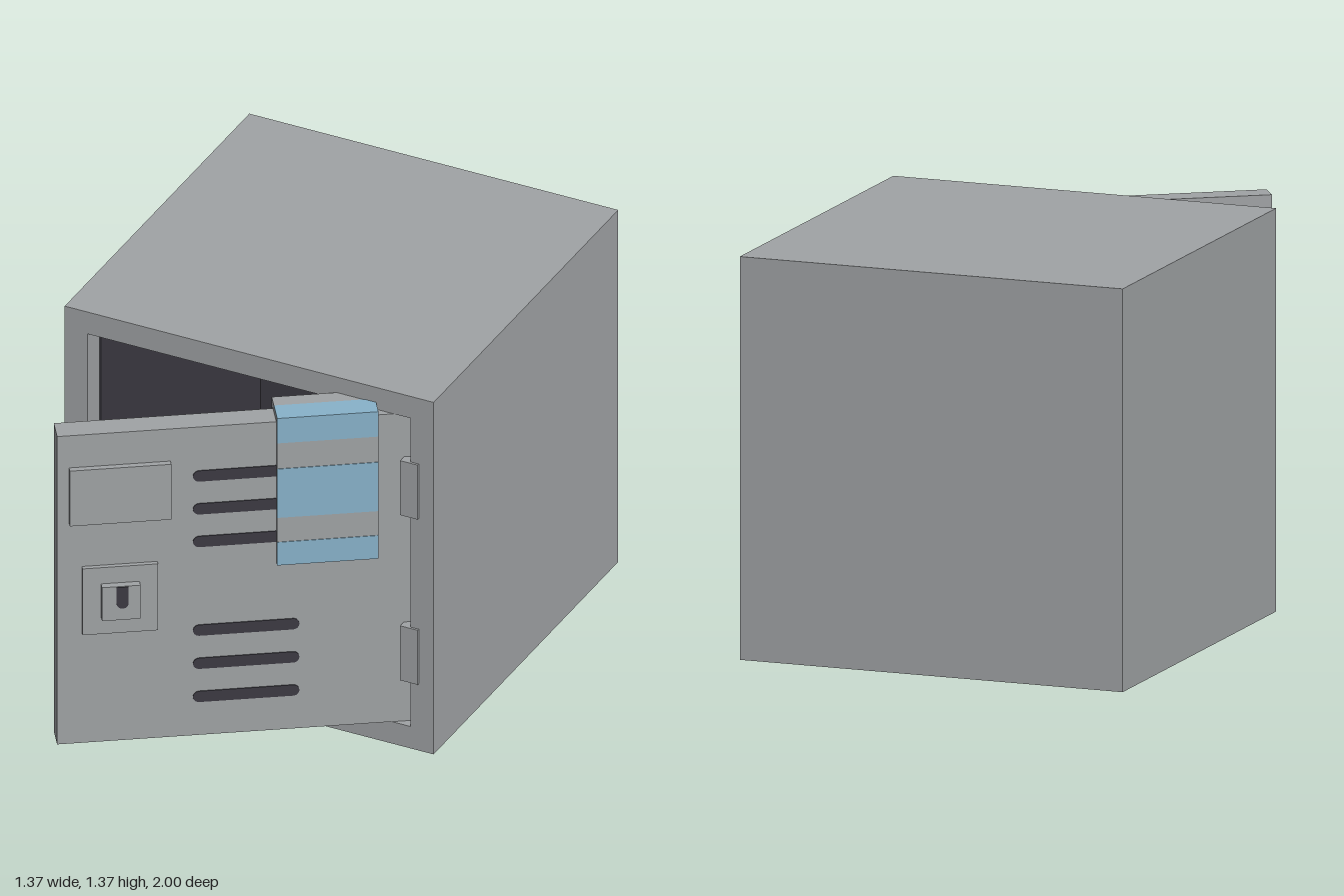
import * as THREE from 'three';

export function createModel() {
  const mat = (name, color, side = THREE.FrontSide) => {
    const m = new THREE.MeshStandardMaterial({ color, side });
    m.name = name;
    return m;
  };
  const steel = mat('grey steel', 0xa0a3a5);
  const dark = mat('dark slots and lining', 0x3c3a42);
  const blue = mat('blue stripe', 0x88b2ca);

  const model = new THREE.Group();
  model.name = 'openSafe';

  const add = (parent, name, geo, material) => {
    const mesh = new THREE.Mesh(geo, material);
    mesh.name = name;
    parent.add(mesh);
    return mesh;
  };
  // Box given by its lower and upper limits on each axis
  const box = (parent, name, [x0, x1], [y0, y1], [z0, z1], material) => {
    const geo = new THREE.BoxGeometry(x1 - x0, y1 - y0, z1 - z0);
    geo.translate((x0 + x1) / 2, (y0 + y1) / 2, (z0 + z1) / 2);
    return add(parent, name, geo, material);
  };
  const rect = (target, h) => {
    target.moveTo(-h, -h);
    target.lineTo(h, -h);
    target.lineTo(h, h);
    target.lineTo(-h, h);
    target.closePath();
    return target;
  };
  // Square tube running along z
  const squareTube = (outer, inner, z0, z1) => {
    const s = rect(new THREE.Shape(), outer / 2);
    s.holes.push(rect(new THREE.Path(), inner / 2));
    const geo = new THREE.ExtrudeGeometry(s, { depth: z1 - z0, bevelEnabled: false });
    geo.translate(0, 0.685, z0);
    return geo;
  };

  // Cabinet: walls, back and dark lining behind the front lip
  add(model, 'cabinetWalls', squareTube(1.37, 1.2, -0.91, 0.37), steel);
  box(model, 'cabinetBack', [-0.685, 0.685], [0, 1.37], [-1, -0.91], steel);
  add(model, 'lining', squareTube(1.2, 1.19, -0.905, 0.28), dark);
  box(model, 'liningBack', [-0.6, 0.6], [0.085, 1.285], [-0.91, -0.902], dark);
  box(model, 'innerBlock', [-0.485, -0.36], [0.28, 0.345], [-0.902, -0.84], steel);

  // Hinges on the front edge
  for (const y of [0.26, 0.903]) {
    box(model, 'hinge', [0.565, 0.63], [y, y + 0.212], [0.32, 0.378], steel);
  }

  // Door: origin at its front hinge edge, extending to -x
  const door = new THREE.Group();
  door.name = 'door';
  door.position.set(0.597, 0, 0.329);
  door.rotation.y = THREE.MathUtils.degToRad(34);
  model.add(door);
  box(door, 'doorPanel', [-1.2, 0], [0.087, 1.285], [-0.086, 0], steel);
  box(door, 'namePlate', [-1.16, -0.82], [0.945, 1.16], [0, 0.021], steel);
  box(door, 'lockPlate', [-1.117, -0.864], [0.515, 0.773], [0, 0.016], steel);
  box(door, 'lockBlock', [-1.055, -0.926], [0.58, 0.71], [0.016, 0.041], steel);

  // Keyhole with a rounded lower end
  const key = new THREE.Shape();
  key.moveTo(0.02, 0.708);
  key.lineTo(-0.02, 0.708);
  key.lineTo(-0.02, 0.645);
  key.absarc(0, 0.645, 0.02, Math.PI, Math.PI * 2, false);
  key.closePath();
  const keyhole = new THREE.ExtrudeGeometry(key, { depth: 0.003, bevelEnabled: false, curveSegments: 6 });
  add(door, 'keyhole', keyhole, dark).position.set(-0.986, 0, 0.041);

  // Vents with rounded ends
  const r = 0.021, half = 0.178 - r;
  const slot = new THREE.Shape();
  slot.absarc(half, 0, r, -Math.PI / 2, Math.PI / 2, false);
  slot.absarc(-half, 0, r, Math.PI / 2, Math.PI * 1.5, false);
  slot.closePath();
  const slotGeo = new THREE.ExtrudeGeometry(slot, { depth: 0.003, bevelEnabled: false, curveSegments: 6 });
  for (const y of [1.095, 0.967, 0.84, 0.495, 0.366, 0.237]) {
    add(door, 'vent', slotGeo, dark).position.set(-0.567, y, 0);
  }

  // Towel folded over the top of the door
  const towel = new THREE.Group();
  towel.name = 'towel';
  door.add(towel);
  const fold = new THREE.Shape();
  [[0.022, 0.74], [0.022, 1.31], [-0.118, 1.31], [-0.118, 0.74], [-0.096, 0.74],
    [-0.096, 1.286], [0, 1.286], [0, 0.74]].forEach(([z, y], i) => (i ? fold.lineTo(-z, y) : fold.moveTo(-z, y)));
  const cloth = new THREE.ExtrudeGeometry(fold, { depth: 0.339, bevelEnabled: false });
  cloth.rotateY(Math.PI / 2);
  add(towel, 'cloth', cloth, steel).position.x = -0.466;
  const across = [-0.466, -0.127];
  for (const y of [[0.74, 0.83], [0.925, 1.115], [1.215, 1.312]]) {
    box(towel, 'stripe', across, y, [0.022, 0.024], blue);
  }
  box(towel, 'topStripe', across, [1.31, 1.312], [-0.06, 0.022], blue);

  return model;
}
